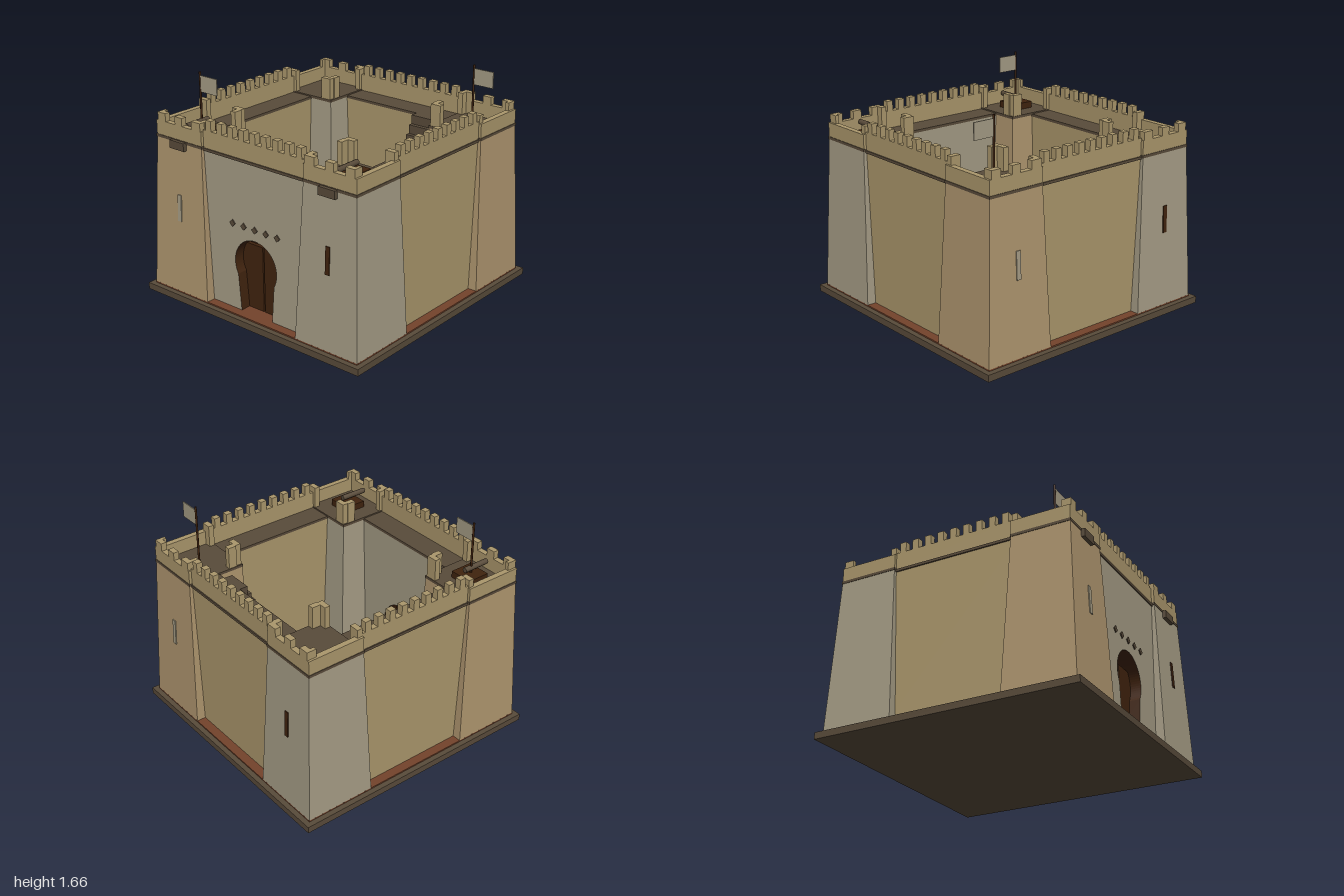
import * as THREE from 'three';

const mat = (name, color) => Object.assign(new THREE.MeshStandardMaterial({ color }), { name });

export function createModel() {
  const fort = new THREE.Group();
  fort.name = 'fort';

  const gold = mat('gold sandstone', 0xab976c);
  const tan = mat('tan sandstone', 0xae956e);
  const grey = mat('grey stone', 0xa59c85);
  const dark = mat('dark paving', 0x594b3a);
  const red = mat('red earth', 0x74432b);
  const wood = mat('dark wood', 0x40230e);

  const add = (parent, name, geo, material) => {
    const m = new THREE.Mesh(geo, material);
    m.name = name;
    parent.add(m);
    return m;
  };
  // Box given by its ranges along each axis
  const box = (parent, name, material, x0, x1, y0, y1, z0, z1) => {
    const m = add(parent, name, new THREE.BoxGeometry(Math.abs(x1 - x0), y1 - y0, Math.abs(z1 - z0)), material);
    m.position.set((x0 + x1) / 2, (y0 + y1) / 2, (z0 + z1) / 2);
    return m;
  };

  // Ground
  box(fort, 'base', dark, -1, 1, 0, 0.05, -1, 1);
  box(fort, 'earthFloor', red, -0.96, 0.96, 0.05, 0.06, -0.96, 0.96);

  // Box narrowing towards the top
  const taperedBox = (bottom, top, h) => {
    const g = new THREE.BoxGeometry(bottom, h, bottom);
    const p = g.attributes.position;
    for (let i = 0; i < p.count; i++) {
      if (p.getY(i) > 0) p.setXYZ(i, p.getX(i) * top / bottom, h / 2, p.getZ(i) * top / bottom);
    }
    g.computeVertexNormals();
    return g;
  };

  // Corner towers, mirrored by the signs sx and sz
  const tower = (sx, sz) => {
    const g = new THREE.Group();
    g.name = 'cornerTower';
    fort.add(g);
    const stone = sx === sz ? grey : tan;
    add(g, 'towerBody', taperedBox(0.54, 0.447, 1.15), stone).position.set(sx * 0.69, 0.625, sz * 0.69);
    const at = (name, m, x0, x1, y0, y1, z0, z1) => box(g, name, m, sx * x0, sx * x1, y0, y1, sz * z0, sz * z1);
    at('towerDeck', dark, 0.463, 0.917, 1.2, 1.22, 0.463, 0.917);
    // Outer parapets
    at('frontParapet', gold, 0.466, 0.913, 1.22, 1.325, 0.87, 0.913);
    at('sideParapet', gold, 0.87, 0.913, 1.22, 1.325, 0.466, 0.87);
    for (const [a, b] of [[0.82, 0.897], [0.655, 0.725], [0.475, 0.56]])
      at('merlon', gold, a, b, 1.325, 1.385, 0.87, 0.913);
    at('merlon', gold, 0.87, 0.897, 1.325, 1.385, 0.84, 0.87);
    // Short inner parapet ends that leave the walkways open
    for (const [x0, x1, z0, z1] of [[0.82, 0.897, 0.467, 0.51], [0.475, 0.56, 0.467, 0.51],
      [0.467, 0.51, 0.51, 0.575], [0.467, 0.51, 0.82, 0.87]])
      at('parapetEnd', gold, x0, x1, 1.22, 1.385, z0, z1);
    // Arrow slit lying on the sloped face
    const slit = at('arrowSlit', sx === sz ? wood : grey, 0.673, 0.708, 0.61, 0.81, 0.931, 0.94);
    slit.rotation.x = -sz * 0.04;
    return at;
  };

  for (const sx of [-1, 1]) {
    tower(sx, -1);
    const at = tower(sx, 1);
    // Front towers carry a jutting box and a cannon
    at('juttingBox', dark, 0.617, 0.757, 1.155, 1.215, 0.9, 0.943);
    at('cannonCarriage', wood, 0.595, 0.775, 1.22, 1.27, 0.595, 0.77);
    const barrel = add(fort, 'cannonBarrel', new THREE.CylinderGeometry(0.02, 0.02, 0.21, 10), dark);
    barrel.rotation.x = Math.PI / 2;
    barrel.position.set(sx * 0.685, 1.305, 0.735);
  }

  // Horseshoe gateway through the front wall
  const wallShape = new THREE.Shape();
  wallShape.moveTo(-0.5, 0.05);
  wallShape.lineTo(-0.145, 0.05);
  wallShape.lineTo(-0.169, 0.337);
  wallShape.absarc(0, 0.435, 0.195, Math.PI + 0.527, -0.527, true);
  wallShape.lineTo(0.145, 0.05);
  wallShape.lineTo(0.5, 0.05);
  wallShape.lineTo(0.5, 1.19);
  wallShape.lineTo(-0.5, 1.19);
  const gateWall = new THREE.ExtrudeGeometry(wallShape, { depth: 0.225, bevelEnabled: false, curveSegments: 24 });

  // Four walls, each turned a quarter about the centre
  for (let i = 0; i < 4; i++) {
    const w = new THREE.Group();
    w.name = ['frontWall', 'leftWall', 'backWall', 'rightWall'][i];
    w.rotation.y = i * Math.PI / 2;
    fort.add(w);
    if (i === 0) add(w, 'gateWall', gateWall, [grey, wood]).position.z = 0.665;
    else box(w, 'wallBody', gold, -0.5, 0.5, 0.05, 1.19, 0.665, 0.89);
    box(w, 'walkway', dark, -0.468, 0.468, 1.19, 1.21, 0.663, 0.9);
    box(w, 'wallParapet', gold, -0.467, 0.467, 1.21, 1.34, 0.845, 0.892);
    for (let k = -4; k <= 4; k++)
      box(w, 'wallMerlon', gold, k * 0.1035 - 0.025, k * 0.1035 + 0.025, 1.34, 1.415, 0.845, 0.892);
  }

  // Gate leaves with a narrow gap, and studs above
  for (const s of [-1, 1]) box(fort, 'gateLeaf', wood, s * 0.006, s * 0.2, 0.06, 0.555, 0.78, 0.81);
  for (let k = -2; k <= 2; k++) {
    const stud = add(fort, 'diamondStud', new THREE.BoxGeometry(0.038, 0.038, 0.009), dark);
    stud.position.set(k * 0.104, 0.715, 0.893);
    stud.rotation.z = Math.PI / 4;
  }

  // Courtyard: wooden hall, two crates and the stair to the walkway
  box(fort, 'woodenHall', wood, -0.5, -0.23, 0.06, 0.43, -0.53, 0.18);
  box(fort, 'hallPorch', wood, -0.23, -0.15, 0.06, 0.3, -0.275, -0.15);
  box(fort, 'stairCrate', wood, 0.14, 0.21, 0.06, 0.3, -0.275, -0.15);
  box(fort, 'stairLanding', dark, 0.21, 0.4, 0.06, 1.21, -0.67, -0.6);
  const steps = 16, run = 0.52 / steps, rise = 1.15 / (steps + 1);
  for (let i = 0; i < steps; i++)
    box(fort, 'stairStep', dark, 0.21, 0.4, 0.06, 0.06 + rise * (i + 1), -0.08 - run * (i + 1), -0.08 - run * i);

  // Flags on two opposite towers
  for (const s of [-1, 1]) {
    const pole = add(fort, 'flagPole', new THREE.CylinderGeometry(0.008, 0.008, 0.445, 8), wood);
    pole.position.set(s * 0.688, 1.4425, -s * 0.688);
    box(fort, 'flag', grey, s * 0.688, s * 0.688 + 0.165, 1.52, 1.64, -s * 0.688 - 0.004, -s * 0.688 + 0.004);
  }

  return fort;
}
